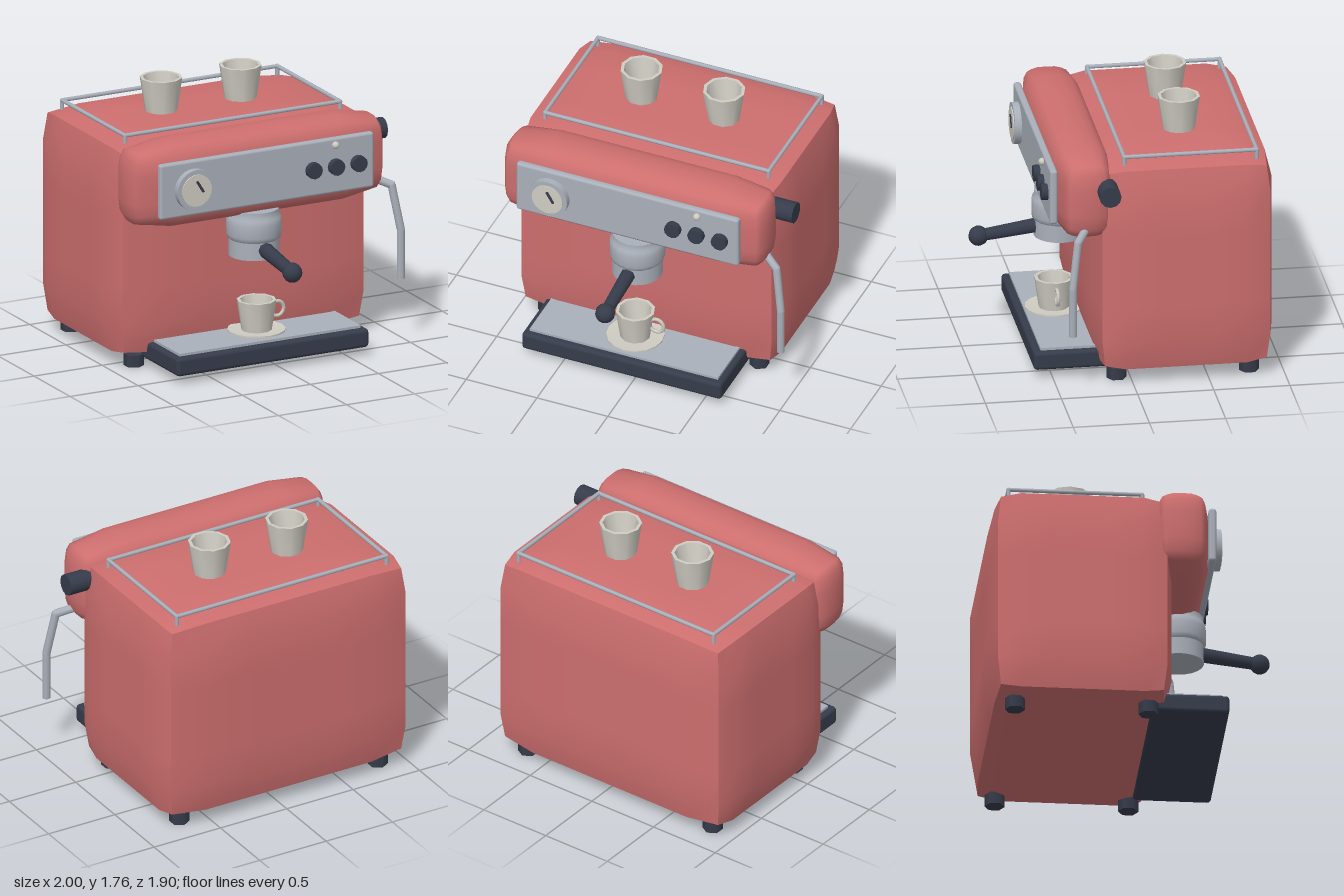
import * as THREE from 'three';
import { mergeVertices, toCreasedNormals } from 'three/addons/utils/BufferGeometryUtils.js';
import { RoundedBoxGeometry } from 'three/addons/geometries/RoundedBoxGeometry.js';

const paint = (name, color) => {
  const m = new THREE.MeshStandardMaterial({ color });
  m.name = name;
  return m;
};

export function createModel() {
  const red = paint('red enamel', 0xcd6e6e);
  const steel = paint('steel', 0xaab0ba);
  const cream = paint('cream porcelain', 0xcfccc2);
  const dark = paint('dark plastic', 0x363c4b);

  const model = new THREE.Group();
  model.name = 'espressoMachine';
  const CX = -0.07; // centre line of the machine

  const add = (name, geo, mat, x = 0, y = 0, z = 0, parent = model) => {
    const mesh = new THREE.Mesh(geo, mat);
    mesh.name = name;
    mesh.position.set(x, y, z);
    parent.add(mesh);
    return mesh;
  };

  // Coarse box whose edges are pulled onto a radius, giving long soft tapers
  const softBox = (w, h, d, r, merged) => {
    let geo = new THREE.BoxGeometry(w, h, d, 6, 6, 6);
    const pos = geo.attributes.position;
    const lim = new THREE.Vector3(w / 2 - r, h / 2 - r, d / 2 - r);
    const p = new THREE.Vector3(), inner = new THREE.Vector3();
    for (let i = 0; i < pos.count; i++) {
      p.fromBufferAttribute(pos, i);
      inner.copy(p).clamp(lim.clone().negate(), lim);
      p.sub(inner).setLength(r).add(inner);
      pos.setXYZ(i, p.x, p.y, p.z);
    }
    if (merged) {
      geo.deleteAttribute('uv');
      geo.deleteAttribute('normal');
      geo = mergeVertices(geo);
    }
    geo.computeVertexNormals();
    return geo;
  };

  const lathe = (points, sides) => {
    const geo = new THREE.LatheGeometry(points.map(([x, y]) => new THREE.Vector2(x, y)), sides);
    geo.rotateY(Math.PI / 2);
    return toCreasedNormals(geo, 0.8);
  };

  // Straight rod between two points
  const rod = (name, a, b, r1, r2, sides, mat, parent = model) => {
    const from = new THREE.Vector3(...a), to = new THREE.Vector3(...b);
    const dir = to.clone().sub(from);
    const mesh = add(name, new THREE.CylinderGeometry(r2, r1, dir.length(), sides), mat, 0, 0, 0, parent);
    mesh.position.copy(from).add(to).multiplyScalar(0.5);
    mesh.quaternion.setFromUnitVectors(new THREE.Vector3(0, 1, 0), dir.normalize());
    return mesh;
  };

  // Housing
  add('body', softBox(1.865, 1.48, 1.2, 0.165, false), red, CX, 0.795, -0.35);
  add('controlHead', softBox(1.86, 0.58, 0.4, 0.165, true), red, CX, 1.29, 0.3);

  // Feet
  for (const x of [-0.815, 0.68])
    for (const z of [0.09, -0.78])
      add('foot', new THREE.CylinderGeometry(0.066, 0.066, 0.08, 6), dark, x, 0.04, z);

  // Control panel with gauge, buttons and lamp
  add('controlPanel', new RoundedBoxGeometry(1.57, 0.375, 0.05, 2, 0.018), steel, CX + 0.003, 1.293, 0.505);
  const disc = (name, r, z0, z1, sides, mat, x, y) =>
    rod(name, [x, y, z0], [x, y, z1], r, r, sides, mat);
  disc('gaugeBezel', 0.138, 0.52, 0.575, 24, steel, -0.61, 1.29);
  disc('gaugeFace', 0.108, 0.57, 0.582, 24, cream, -0.61, 1.29);
  const needle = add('gaugeNeedle', new THREE.BoxGeometry(0.016, 0.09, 0.008), dark, -0.588, 1.315, 0.586);
  needle.rotation.z = 0.55;
  for (const x of [0.265, 0.43, 0.595]) disc('button', 0.054, 0.52, 0.572, 12, dark, x, 1.29);
  add('lamp', new THREE.SphereGeometry(0.025, 12, 8), cream, 0.43, 1.435, 0.538);

  // Brew group and filter holder
  add('brewGroup', lathe([[0, 0.83], [0.16, 0.83], [0.176, 0.845], [0.182, 0.87], [0.182, 0.95],
    [0.176, 0.985], [0.165, 1.0], [0.165, 1.04], [0, 1.04]], 20), steel, CX, 0, 0.35);
  add('filterHolder', new THREE.CylinderGeometry(0.167, 0.167, 0.13, 20), steel, CX, 0.785, 0.35);
  rod('filterHandle', [CX, 0.795, 0.46], [CX, 0.737, 0.88], 0.052, 0.042, 8, dark);
  add('handleKnob', new THREE.SphereGeometry(0.066, 12, 8), dark, CX, 0.737, 0.88);

  // Drip tray
  add('dripTray', new RoundedBoxGeometry(1.41, 0.125, 0.51, 2, 0.025), dark, CX, 0.117, 0.368);
  add('dripPlate', new THREE.BoxGeometry(1.33, 0.025, 0.42), steel, CX, 0.184, 0.365);

  // Cups: outer wall, rim, then tapering interior
  const cupGeo = (rb, rt, h) => lathe([[0, 0], [rb, 0], [rt, h], [rt - 0.022, h],
    [rb - 0.02, 0.035], [0, 0.025]], 10);
  for (const x of [-0.36, 0.223]) add('spareCup', cupGeo(0.105, 0.14, 0.23), cream, x, 1.53, -0.39);
  const served = new THREE.Group();
  served.name = 'servedCup';
  served.position.set(CX, 0.195, 0.385);
  model.add(served);
  add('saucer', lathe([[0, 0], [0.13, 0], [0.19, 0.018], [0.19, 0.028], [0.11, 0.022], [0, 0.022]], 16),
    cream, 0, 0, 0, served);
  add('cup', cupGeo(0.1, 0.13, 0.205), cream, 0, 0.02, 0, served);
  add('cupHandle', new THREE.TorusGeometry(0.05, 0.013, 6, 14), cream, 0.15, 0.14, 0, served);

  // Cup rail with corner posts
  const x0 = -0.855, x1 = 0.725, z0 = -0.825, z1 = 0.045, ry = 1.553;
  const corners = [[x0, z0], [x1, z0], [x1, z1], [x0, z1]];
  corners.forEach(([x, z], i) => {
    const [nx, nz] = corners[(i + 1) % 4];
    rod('cupRail', [x, ry, z], [nx, ry, nz], 0.014, 0.014, 8, steel);
    rod('railPost', [x, 1.49, z], [x, ry, z], 0.014, 0.014, 8, steel);
    add('railCorner', new THREE.SphereGeometry(0.015, 8, 6), steel, x, ry, z);
  });

  // Steam valve and wand
  rod('steamKnob', [0.76, 1.375, 0.172], [0.972, 1.375, 0.172], 0.071, 0.071, 12, dark);
  const wand = [[0.78, 1.115, 0.29], [0.925, 1.05, 0.38], [0.972, 0.75, 0.42], [0.972, 0.42, 0.42]];
  for (let i = 0; i < 3; i++) {
    rod('steamWand', wand[i], wand[i + 1], 0.027, 0.027, 8, steel);
    if (i) add('wandBend', new THREE.SphereGeometry(0.027, 8, 6), steel, ...wand[i]);
  }
  return model;
}
